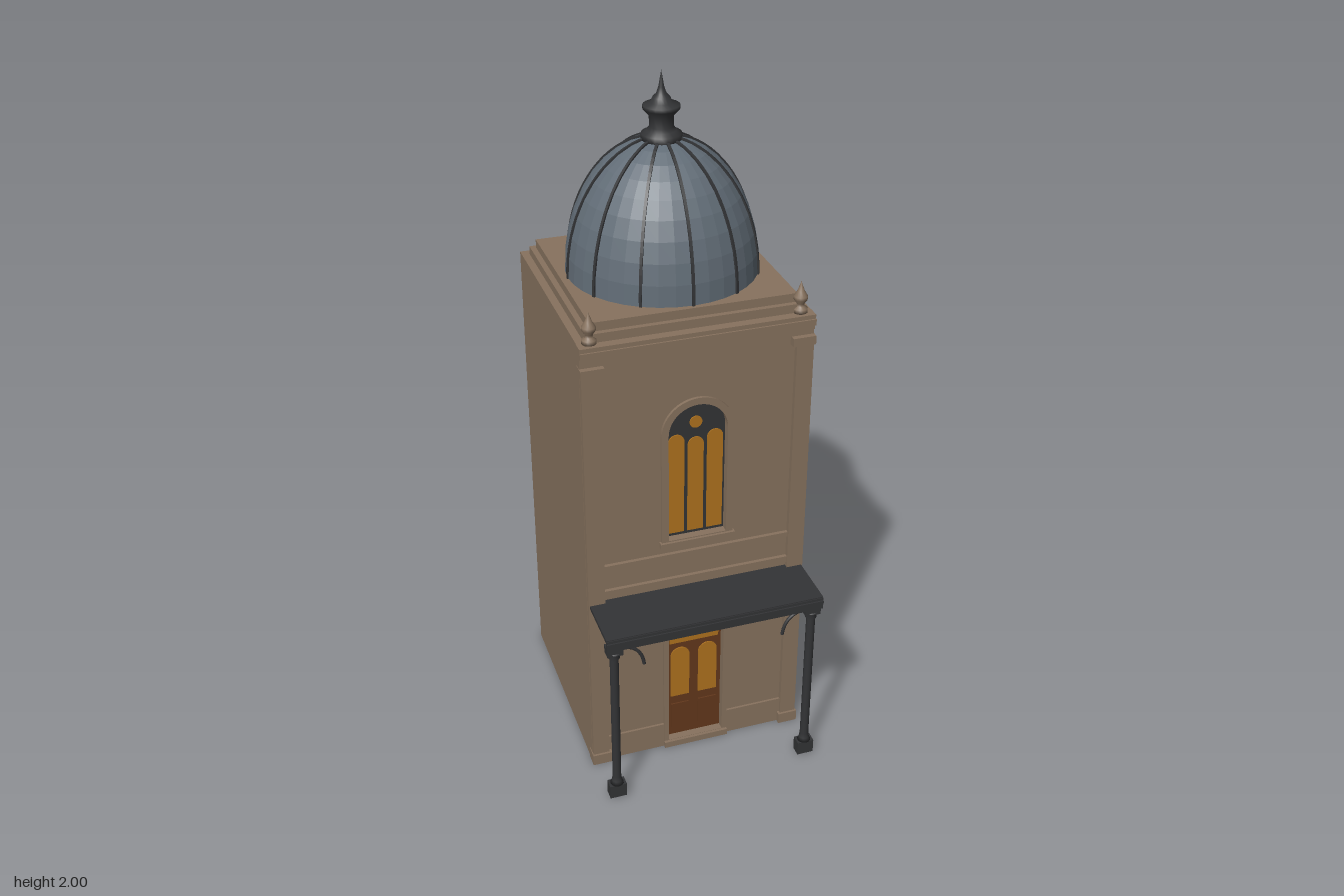
import * as THREE from 'three';

const mat = (name, color, extra = {}) => {
  const m = new THREE.MeshStandardMaterial({ color, ...extra });
  m.name = name;
  return m;
};

export function createModel() {
  const stone = mat('stone', 0x87725e);
  const slate = mat('slate', 0x626d77, { flatShading: true });
  const iron = mat('iron', 0x333436);
  const wood = mat('wood', 0x63381c);
  const glass = mat('amber glass', 0xb0731f);

  const model = new THREE.Group();
  model.name = 'domedTower';

  const add = (name, geometry, material, x = 0, y = 0, z = 0, parent = model) => {
    const mesh = new THREE.Mesh(geometry, material);
    mesh.name = name;
    mesh.position.set(x, y, z);
    parent.add(mesh);
    return mesh;
  };
  // Box given by its limits on each axis
  const box = (name, m, x0, x1, y0, y1, z0, z1) =>
    add(name, new THREE.BoxGeometry(x1 - x0, y1 - y0, z1 - z0), m,
      (x0 + x1) / 2, (y0 + y1) / 2, (z0 + z1) / 2);
  const lathe = (points, segments) =>
    new THREE.LatheGeometry(points.map(p => new THREE.Vector2(...p)), segments);
  // Round-headed outline: half width, foot and springing height
  const arch = (w, foot, spring, x = 0, Type = THREE.Shape) => {
    const s = new Type();
    s.moveTo(x - w, foot);
    s.lineTo(x + w, foot);
    s.lineTo(x + w, spring);
    s.absarc(x, spring, w, 0, Math.PI, false);
    s.lineTo(x - w, foot);
    return s;
  };
  const plate = (name, shape, m, z0, z1) =>
    add(name, new THREE.ExtrudeGeometry(shape,
      { depth: z1 - z0, bevelEnabled: false, curveSegments: 16 }), m, 0, 0, z0);

  // Main block and front wall with two arched openings
  box('mainBlock', stone, -0.325, 0.325, 0, 1.4, -0.41, 0.205);
  const wall = new THREE.Shape([[-0.325, 0], [0.325, 0], [0.325, 1.4], [-0.325, 1.4]]
    .map(p => new THREE.Vector2(...p)));
  wall.holes.push(arch(0.085, 0.02, 0.39, 0, THREE.Path), arch(0.085, 0.755, 1.095, 0, THREE.Path));
  plate('frontWall', wall, stone, 0.205, 0.225);

  // Mouldings around the openings
  for (const [name, w, foot, spring, holeFoot] of [
    ['doorSurround', 0.1, 0.02, 0.39, 0.021], ['windowSurround', 0.105, 0.735, 1.095, 0.755]]) {
    const s = arch(w, foot, spring);
    s.holes.push(arch(0.085, holeFoot, spring, 0, THREE.Path));
    plate(name, s, stone, 0.225, 0.234);
  }
  box('windowSill', stone, -0.11, 0.11, 0.735, 0.752, 0.225, 0.242);
  box('doorStep', stone, -0.1, 0.1, 0, 0.02, 0.225, 0.243);

  // Door with glazed leaves and fanlight
  plate('door', arch(0.085, 0.02, 0.39), wood, 0.205, 0.21);
  plate('fanlight', arch(0.076, 0.37, 0.389), glass, 0.21, 0.213);
  for (const s of [-1, 1]) {
    plate('doorGlass', arch(0.029, 0.17, 0.322, s * 0.043), glass, 0.21, 0.213);
    box('doorPanel', wood, s * 0.043 - 0.028, s * 0.043 + 0.028, 0.05, 0.14, 0.21, 0.214);
  }

  // Upper window: iron tracery with three lights and a roundel
  plate('windowTracery', arch(0.085, 0.755, 1.095), iron, 0.205, 0.21);
  for (const x of [-0.056, 0, 0.056])
    plate('windowLight', arch(0.023, 0.765, x ? 1.06 : 1.045, x), glass, 0.21, 0.213);
  const roundel = new THREE.Shape();
  roundel.absarc(0, 1.115, 0.018, 0, Math.PI * 2);
  plate('windowRoundel', roundel, glass, 0.21, 0.213);

  // Pilasters with bases and capitals
  for (const s of [-1, 1]) {
    const strip = (name, inner, outer, y0, y1, z1) =>
      box(name, stone, Math.min(s * inner, s * outer), Math.max(s * inner, s * outer), y0, y1, 0.205, z1);
    strip('pilaster', 0.275, 0.324, 0, 1.32, 0.24);
    strip('pilasterBase', 0.268, 0.327, 0, 0.035, 0.247);
    strip('pilasterCapital', 0.262, 0.327, 1.315, 1.34, 0.247);
  }

  // Plinth, string courses and stepped cornice
  for (const s of [-1, 1])
    box('plinth', stone, s < 0 ? -0.275 : 0.1, s < 0 ? -0.1 : 0.275, 0, 0.085, 0.225, 0.232);
  for (const [y0, y1, z] of [[0.605, 0.625, 0.236], [0.695, 0.71, 0.236]])
    box('stringCourse', stone, -0.275, 0.275, y0, y1, 0.225, z);
  for (const [y0, y1, z] of [[1.34, 1.355, 0.231], [1.355, 1.37, 0.236], [1.37, 1.388, 0.245], [1.388, 1.4, 0.24]])
    box('cornice', stone, -0.326, 0.326, y0, y1, 0.205, z);
  box('lowerRoofStep', stone, -0.303, 0.303, 1.4, 1.425, -0.383, 0.213);
  box('upperRoofStep', stone, -0.287, 0.287, 1.425, 1.45, -0.368, 0.198);

  // Corner finials
  for (const s of [-1, 1])
    add('cornerFinial', lathe([[0, 0], [0.02, 0], [0.02, 0.012], [0.011, 0.018], [0.011, 0.026],
      [0.019, 0.038], [0.019, 0.047], [0.01, 0.062], [0.004, 0.078], [0, 0.09]], 14),
    stone, s * 0.292, 1.4, 0.21);

  // Ribbed dome
  const dome = new THREE.Group();
  dome.name = 'dome';
  dome.position.set(0, 1.45, -0.083);
  model.add(dome);
  const profile = (r, h, n) => Array.from({ length: n + 1 }, (_, i) => {
    const a = (i / n) * Math.PI / 2;
    return [Math.max(0, r * Math.cos(a)), h * Math.sin(a)];
  });
  add('domeShell', lathe(profile(0.267, 0.375, 10), 36), slate, 0, 0, 0, dome);
  const rib = new THREE.Shape();
  const outer = profile(0.271, 0.379, 20), inner = profile(0.258, 0.366, 20).reverse();
  [...outer, ...inner].forEach((p, i) => (i ? rib.lineTo(...p) : rib.moveTo(...p)));
  const ribGeometry = new THREE.ExtrudeGeometry(rib, { depth: 0.008, bevelEnabled: false });
  ribGeometry.translate(0, 0, -0.004);
  for (let i = 0; i < 12; i++)
    add('domeRib', ribGeometry, iron, 0, 0, 0, dome).rotation.y = i * Math.PI / 6;

  // Crowning finial
  add('domeFinial', lathe([[0, 0.362], [0.055, 0.362], [0.055, 0.382], [0.04, 0.39], [0.033, 0.4],
    [0.033, 0.43], [0.05, 0.448], [0.05, 0.458], [0.03, 0.464], [0.024, 0.478], [0.014, 0.488],
    [0.008, 0.505], [0, 0.55]], 20), iron, 0, 0, 0, dome);

  // Canopy
  box('canopyRoof', iron, -0.32, 0.32, 0.577, 0.588, 0.205, 0.404);
  box('canopyFascia', iron, -0.32, 0.32, 0.548, 0.585, 0.399, 0.406);
  box('canopyFasciaLip', iron, -0.32, 0.32, 0.565, 0.577, 0.406, 0.41);

  // Posts and curved brackets
  for (const s of [-1, 1]) {
    const x = s * 0.294, z = 0.384;
    box('postBase', iron, x - 0.025, x + 0.025, 0.004, 0.048, z - 0.016, z + 0.016);
    add('post', lathe([[0, 0.048], [0.02, 0.048], [0.015, 0.06], [0.013, 0.075], [0.013, 0.505],
      [0.017, 0.512], [0.014, 0.522], [0.02, 0.532], [0, 0.532]], 12), iron, x, 0, z);
    box('postCapital', iron, x - 0.023, x + 0.023, 0.525, 0.55, z - 0.016, z + 0.016);
    const curve = new THREE.QuadraticBezierCurve3(
      new THREE.Vector3(s * 0.275, 0.541, z), new THREE.Vector3(s * 0.215, 0.535, z),
      new THREE.Vector3(s * 0.207, 0.467, z));
    add('bracket', new THREE.TubeGeometry(curve, 12, 0.005, 8), iron);
  }
  return model;
}
